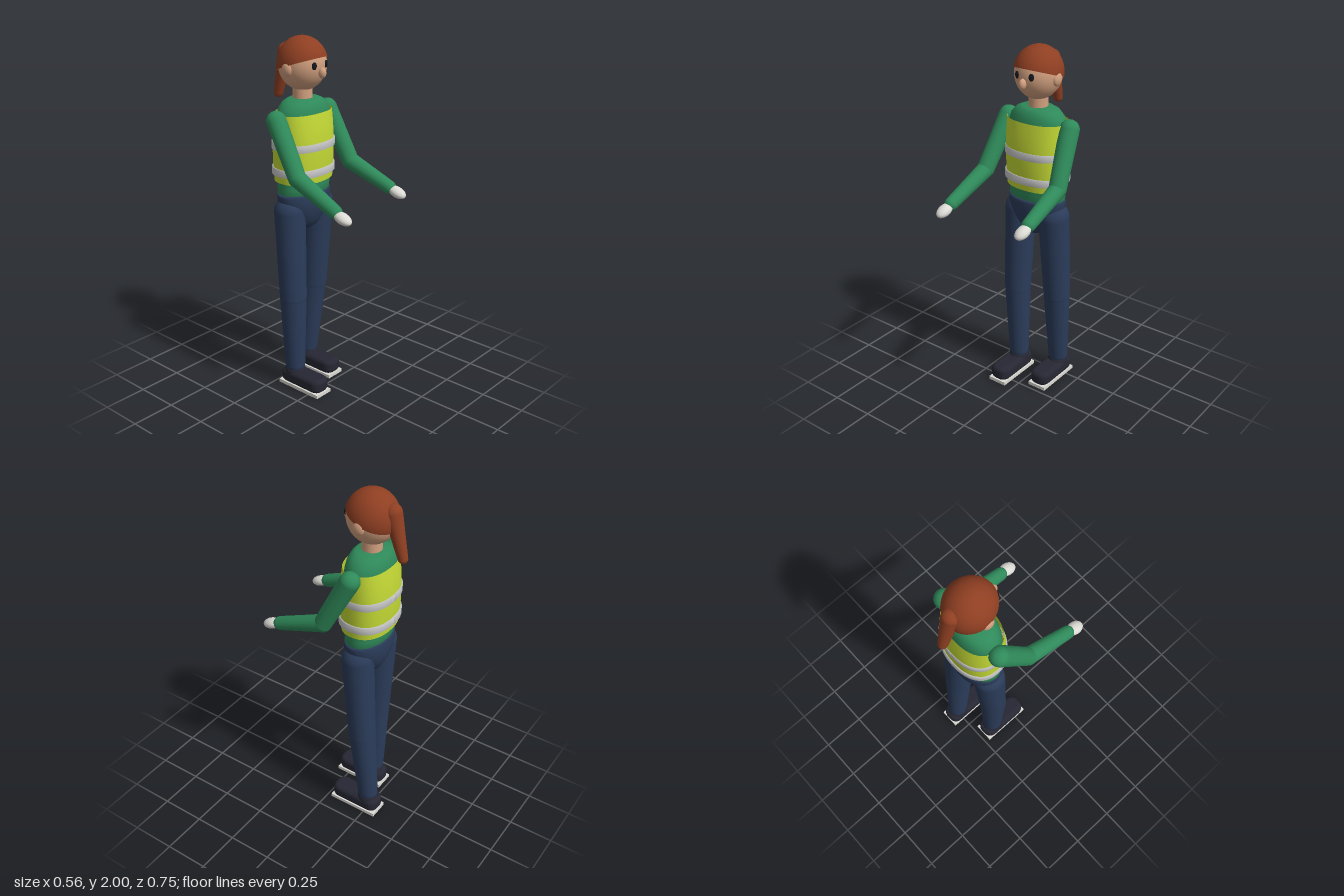
import * as THREE from 'three';

const mat = (name, color, side = THREE.FrontSide) => {
  const m = new THREE.MeshStandardMaterial({ color, side });
  m.name = name;
  return m;
};

export function createModel() {
  const skin = mat('skin', 0xd2a07f);
  const hair = mat('hair', 0x8f3f22, THREE.DoubleSide);
  const green = mat('green shirt', 0x2f8a5a);
  const lime = mat('lime vest', 0xc4d935, THREE.DoubleSide);
  const silver = mat('silver band', 0xc9c9c9, THREE.DoubleSide);
  const navy = mat('navy trousers', 0x2b3c5a);
  const shoeDark = mat('dark shoe', 0x262733);
  const pale = mat('pale glove and sole', 0xdcdad4);
  const black = mat('black eye', 0x14171c);

  const model = new THREE.Group();
  model.name = 'worker';
  const CZ = -0.168; // depth of the body axis

  const add = (name, geo, material, pos = [0, 0, 0], parent = model) => {
    const m = new THREE.Mesh(geo, material);
    m.name = name;
    m.position.set(...pos);
    parent.add(m);
    return m;
  };

  const ellipsoid = (rx, ry, rz) => new THREE.SphereGeometry(1, 28, 18).scale(rx, ry, rz);

  // Loft of rounded ellipses; rows are [y, half width, half depth] from the bottom up
  const loft = (rows, power = 2) => {
    const seg = 48, n = rows.length;
    const geo = new THREE.LatheGeometry(rows.map(([y, r]) => new THREE.Vector2(r, y)), seg);
    const p = geo.attributes.position;
    const bend = (v) => Math.sign(v) * Math.pow(Math.abs(v), 2 / power);
    for (let i = 0; i < p.count; i++) {
      const [y, rx, rz] = rows[i % n];
      const a = (Math.floor(i / n) / seg) * Math.PI * 2 + Math.PI;
      p.setXYZ(i, rx * bend(Math.sin(a)), y, rz * bend(Math.cos(a)));
    }
    geo.computeVertexNormals();
    return geo;
  };

  // Tapered limb with round ends between two points
  const limb = (name, a, b, ra, rb, material, parent) => {
    const A = new THREE.Vector3(...a), B = new THREE.Vector3(...b);
    const d = B.clone().sub(A), len = d.length(), pts = [];
    for (let i = 0; i <= 6; i++) {
      const t = (i / 6) * Math.PI / 2;
      pts.push(new THREE.Vector2(ra * Math.sin(t), -ra * Math.cos(t)));
    }
    for (let i = 0; i <= 6; i++) {
      const t = (i / 6) * Math.PI / 2;
      pts.push(new THREE.Vector2(rb * Math.cos(t), len + rb * Math.sin(t)));
    }
    const m = add(name, new THREE.LatheGeometry(pts, 24), material, a, parent);
    m.quaternion.setFromUnitVectors(new THREE.Vector3(0, 1, 0), d.normalize());
    return m;
  };

  // Head, neck and face
  add('head', ellipsoid(0.125, 0.14, 0.134), skin, [0, 1.853, -0.17]);
  add('neck', new THREE.CylinderGeometry(0.052, 0.054, 0.12, 24), skin, [0, 1.69, -0.17]);
  add('nose', ellipsoid(0.019, 0.029, 0.023), skin, [0, 1.822, -0.031]);
  for (const s of [1, -1]) {
    add(s > 0 ? 'leftEar' : 'rightEar', ellipsoid(0.02, 0.038, 0.033), skin, [s * 0.119, 1.838, -0.167]);
    const eye = add(s > 0 ? 'leftEye' : 'rightEye', ellipsoid(0.014, 0.02, 0.008), black, [s * 0.045, 1.861, -0.045]);
    eye.rotation.y = s * 0.36;
  }

  // Hair cap tilted backwards, with a ponytail
  add('hairCap', new THREE.SphereGeometry(1, 36, 16, 0, Math.PI * 2, 0, Math.PI / 2)
    .rotateX(-0.32).scale(0.131, 0.145, 0.139), hair, [0, 1.855, -0.17]);
  limb('ponytail', [0, 1.905, -0.283], [0, 1.674, -0.348], 0.048, 0.026, hair);

  // Shirt body
  add('torso', loft([
    [1.1, 0, 0], [1.1, 0.165, 0.104], [1.2, 0.17, 0.107], [1.4, 0.17, 0.118], [1.53, 0.17, 0.116],
    [1.59, 0.168, 0.112], [1.63, 0.154, 0.104], [1.66, 0.125, 0.09], [1.675, 0.09, 0.07], [1.678, 0, 0],
  ], 2.1), green, [0, 0, CZ]);

  // Open safety vest with two bands
  add('vest', loft([
    [1.232, 0.173, 0.128], [1.33, 0.177, 0.136], [1.44, 0.179, 0.138], [1.53, 0.179, 0.13], [1.607, 0.177, 0.118],
  ], 2.3), lime, [0, 0, CZ]);
  for (const [name, y] of [['upperBand', 1.432], ['lowerBand', 1.291]]) {
    add(name, loft([
      [y - 0.02, 0.176, 0.134], [y - 0.02, 0.184, 0.143], [y + 0.02, 0.184, 0.143], [y + 0.02, 0.176, 0.134],
    ], 2.3), silver, [0, 0, CZ]);
  }

  // Hips
  add('hips', loft([
    [0.935, 0, 0], [0.945, 0.04, 0.04], [0.97, 0.08, 0.07], [1.01, 0.118, 0.092], [1.06, 0.152, 0.108],
    [1.11, 0.172, 0.115], [1.15, 0.175, 0.113], [1.165, 0.172, 0.11], [1.165, 0, 0],
  ]), navy, [0, 0, CZ]);

  // Legs and shoes: side, knee depth, ankle depth
  for (const [s, kneeZ, ankleZ] of [[1, -0.206, -0.246], [-1, -0.147, -0.147]]) {
    const leg = new THREE.Group();
    leg.name = s > 0 ? 'leftLeg' : 'rightLeg';
    model.add(leg);
    const knee = [s * 0.117, 0.56, kneeZ];
    limb('thigh', [s * 0.113, 1.06, -0.168], knee, 0.087, 0.076, navy, leg);
    limb('shin', knee, [s * 0.108, 0.13, ankleZ], 0.075, 0.057, navy, leg);
    add('shoeAnkle', ellipsoid(0.059, 0.055, 0.062), shoeDark, [s * 0.108, 0.085, ankleZ], leg);

    const shape = new THREE.Shape(); // shoe footprint, bevelled into a rounded upper
    const w = 0.033, l = 0.122, c = 0.025;
    shape.moveTo(-w + c, -l).lineTo(w - c, -l).quadraticCurveTo(w, -l, w, -l + c)
      .lineTo(w, l - c).quadraticCurveTo(w, l, w - c, l)
      .lineTo(-w + c, l).quadraticCurveTo(-w, l, -w, l - c)
      .lineTo(-w, -l + c).quadraticCurveTo(-w, -l, -w + c, -l);
    const upper = new THREE.ExtrudeGeometry(shape, {
      depth: 0.03, bevelThickness: 0.026, bevelSize: 0.026, bevelSegments: 5, curveSegments: 6,
    }).rotateX(-Math.PI / 2);
    add('shoeUpper', upper, shoeDark, [s * 0.108, 0.043, ankleZ + 0.072], leg);
    add('shoeSole', new THREE.BoxGeometry(0.114, 0.02, 0.294), pale, [s * 0.108, 0.01, ankleZ + 0.072], leg);
  }

  // Arms reaching forward: side, elbow, wrist, hand
  for (const [s, elbow, wrist, hand] of [
    [1, [0.229, 1.3, -0.03], [0.241, 1.201, 0.236], [0.244, 1.183, 0.288]],
    [-1, [-0.227, 1.312, -0.002], [-0.242, 1.199, 0.27], [-0.245, 1.178, 0.322]],
  ]) {
    const arm = new THREE.Group();
    arm.name = s > 0 ? 'leftArm' : 'rightArm';
    model.add(arm);
    limb('upperArm', [s * 0.199, 1.582, -0.172], elbow, 0.054, 0.048, green, arm);
    limb('forearm', elbow, wrist, 0.047, 0.037, green, arm);
    const glove = add('glove', ellipsoid(0.036, 0.028, 0.055), pale, hand, arm);
    glove.rotation.x = 0.33;
  }

  return model;
}
